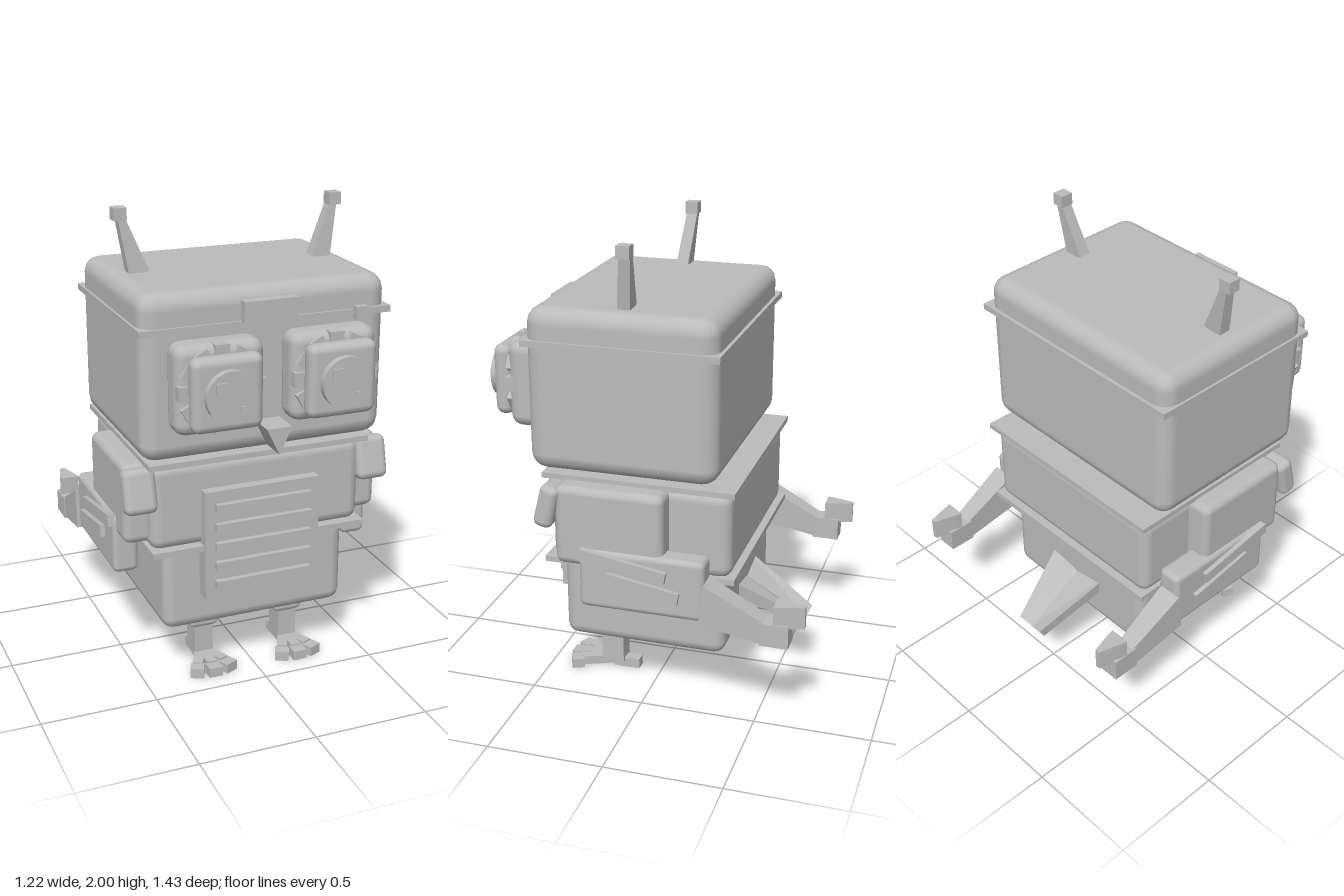
import * as THREE from 'three';
import { RoundedBoxGeometry } from 'three/addons/geometries/RoundedBoxGeometry.js';

const grey = new THREE.MeshStandardMaterial({ color: 0xbbbbbb });
grey.name = 'shell grey';

export function createModel() {
  const root = new THREE.Group();
  root.name = 'robotOwl';

  const add = (name, geo, x = 0, y = 0, z = 0, parent = root) => {
    const m = new THREE.Mesh(geo, grey);
    m.name = name;
    m.position.set(x, y, z);
    parent.add(m);
    return m;
  };
  const group = (name, x = 0, y = 0, z = 0) => {
    const g = new THREE.Group();
    g.name = name;
    g.position.set(x, y, z);
    root.add(g);
    return g;
  };
  // Boxes given by their limits on each axis; r > 0 rounds the edges
  const box = (name, [x0, x1], [y0, y1], [z0, z1], r = 0, parent = root) => {
    const w = Math.abs(x1 - x0), h = y1 - y0, d = z1 - z0;
    const geo = r ? new RoundedBoxGeometry(w, h, d, 2, r) : new THREE.BoxGeometry(w, h, d);
    return add(name, geo, (x0 + x1) / 2, (y0 + y1) / 2, (z0 + z1) / 2, parent);
  };
  // Flat-faced solid between two rings of points, wound outward
  const loft = (a, b) => {
    const n = a.length, tris = [];
    for (let i = 0; i < n; i++) {
      const j = (i + 1) % n;
      tris.push([a[i], a[j], b[j]], [a[i], b[j], b[i]]);
    }
    for (const [ring, rev] of [[a, true], [b, false]]) {
      const flat = ring.map((p) => new THREE.Vector3(...p));
      const c = flat.reduce((s, p) => s.add(p), new THREE.Vector3()).divideScalar(n).toArray();
      for (let i = 0; i < n; i++) {
        const j = (i + 1) % n;
        tris.push(rev ? [c, ring[j], ring[i]] : [c, ring[i], ring[j]]);
      }
    }
    let volume = 0;
    for (const t of tris) {
      const [p, q, r] = t.map((v) => new THREE.Vector3(...v));
      volume += p.dot(q.cross(r));
    }
    if (volume < 0) tris.forEach((t) => t.reverse());
    const geo = new THREE.BufferGeometry();
    geo.setAttribute('position', new THREE.Float32BufferAttribute(tris.flat(2), 3));
    geo.computeVertexNormals();
    return geo;
  };

  // Head with brim, brow block and side knob
  box('head', [-0.53, 0.53], [1.045, 1.735], [-0.33, 0.475], 0.07);
  box('headBrim', [-0.54, 0.54], [1.575, 1.602], [-0.345, 0.485]);
  box('browBlock', [-0.115, 0.115], [1.6, 1.685], [0.43, 0.515]);
  box('browKnob', [0.375, 0.43], [1.56, 1.615], [0.45, 0.505]);

  // Body sections and plates
  box('upperBody', [-0.475, 0.475], [0.625, 1.005], [-0.38, 0.4], 0.05);
  box('lowerBody', [-0.415, 0.415], [0.235, 0.63], [-0.34, 0.375], 0.05);
  box('collarPlate', [-0.49, 0.49], [1.0, 1.024], [-0.4, 0.43]);
  box('waistPlate', [-0.48, 0.48], [0.612, 0.637], [-0.4, 0.43]);
  box('neck', [-0.3, 0.3], [0.98, 1.08], [-0.2, 0.3]);

  // Chest grille
  box('chestPanel', [-0.257, 0.257], [0.395, 0.88], [0.37, 0.445]);
  for (let i = 0; i < 5; i++) {
    const y = 0.81 - i * 0.0865;
    box('chestSlat', [-0.215, 0.215], [y - 0.017, y + 0.017], [0.43, 0.47]);
  }

  // Beak
  const beak = new THREE.Shape();
  beak.moveTo(-0.055, 1.183);
  beak.lineTo(0, 1.07);
  beak.lineTo(0.055, 1.183);
  beak.closePath();
  add('beak', new THREE.ExtrudeGeometry(beak, { depth: 0.13, bevelEnabled: false }), 0, 0, 0.475);

  for (const s of [-1, 1]) {
    // Eye: housing, toothed ring, inner bezel, lens and glints
    const eye = group(s > 0 ? 'leftEye' : 'rightEye', s * 0.243, 1.372, 0);
    box('eyeHousing', [-0.187, 0.187], [-0.185, 0.185], [0.455, 0.595], 0.05, eye);
    for (let i = 0; i < 12; i++) {
      const a = (i * Math.PI) / 6;
      const tooth = add('eyeTooth', new THREE.BoxGeometry(0.05, 0.06, 0.05),
        Math.cos(a) * 0.157, Math.sin(a) * 0.157, 0.58, eye);
      tooth.rotation.z = a;
    }
    box('eyeBezel', [-0.148, 0.148], [-0.152, 0.152], [0.595, 0.675], 0.035, eye);
    const lens = add('eyeLens', new THREE.CylinderGeometry(0.106, 0.106, 0.05, 20), 0, 0, 0.68, eye);
    lens.rotation.x = Math.PI / 2;
    box('largeGlint', [-0.068, -0.024], [0.02, 0.064], [0.7, 0.714], 0, eye);
    box('smallGlint', [0.032, 0.052], [-0.058, -0.038], [0.7, 0.714], 0, eye);

    // Ear antenna
    const ring = (x, y, z, w, d, tilt) => [[-1, -1], [1, -1], [1, 1], [-1, 1]]
      .map(([i, k]) => [s * (x + i * w), y + i * tilt, z + k * d]);
    add('antennaStem', loft(ring(0.405, 1.73, 0.075, 0.042, 0.027, -0.01),
      ring(0.468, 1.955, 0.056, 0.016, 0.024, 0)));
    box('antennaTip', [s * 0.448, s * 0.502], [1.948, 2.0], [0.03, 0.086]);

    // Arm: shoulder, front pad and forearm
    box('upperArm', [s * 0.44, s * 0.575], [0.655, 1.005], [-0.12, 0.35], 0.035);
    const pad = add('shoulderPad', new RoundedBoxGeometry(0.14, 0.19, 0.085, 2, 0.03), s * 0.522, 0.907, 0.382);
    pad.rotation.x = -0.25;
    box('forearm', [s * 0.48, s * 0.59], [0.48, 0.745], [-0.3, 0.24], 0.025);
    for (const [y, z, len] of [[0.695, 0.045, 0.375], [0.605, -0.04, 0.315]]) {
      const plate = add('forearmPlate', new THREE.BoxGeometry(0.03, 0.052, len), s * 0.595, y, z);
      plate.rotation.x = -0.165;
    }
    // Wrist and raised claw
    const wristRing = (z0, y0, z1, y1, w) => [[-w, z0, y0], [w, z0, y0], [w, z1, y1], [-w, z1, y1]]
      .map(([x, z, y]) => [s * (0.55 + x), y, z]);
    add('wrist', loft(wristRing(-0.28, 0.48, -0.3, 0.655, 0.052), wristRing(-0.55, 0.422, -0.58, 0.505, 0.038)));
    box('claw', [s * 0.505, s * 0.595], [0.42, 0.52], [-0.655, -0.535]);
    const tip = (y) => [[-0.044, -0.59], [0.044, -0.59], [0.038, -0.62], [0.011, -0.715], [-0.011, -0.715], [-0.038, -0.62]]
      .map(([x, z]) => [s * (0.55 + x), y, z]);
    add('clawTip', loft(tip(0.505), tip(0.6)));

    // Leg and foot with three splayed toes and a heel
    box('legCuff', [s * 0.135, s * 0.265], [0.172, 0.23], [0.155, 0.283], 0.022);
    box('leg', [s * 0.158, s * 0.242], [0.03, 0.245], [0.168, 0.27]);
    const foot = group(s > 0 ? 'leftFoot' : 'rightFoot', s * 0.2, 0.025, 0.22);
    for (const a of [-0.42, 0, 0.42]) {
      const toe = new THREE.Group();
      toe.name = 'toe';
      toe.rotation.y = a;
      foot.add(toe);
      box('toeBar', [-0.022, 0.022], [-0.015, 0.025], [0, 0.15], 0, toe);
      box('toeClaw', [-0.03, 0.03], [-0.025, 0.018], [0.145, 0.2], 0, toe);
    }
    box('heel', [-0.025, 0.025], [-0.025, 0.02], [-0.12, 0], 0, foot);
  }

  // Tail: a tapering, slightly troughed slab sloping down and back
  const tailRing = (y, z, w, t) => [[-1, 0], [0, -0.025], [1, 0], [1, -t], [0, -t - 0.015], [-1, -t]]
    .map(([x, u]) => [x * w, y + u * 0.85, z - u * 0.5]).map(([x, yy, zz]) => [x, yy, zz]);
  add('tail', loft(tailRing(0.5, -0.26, 0.175, 0.06), tailRing(0.285, -0.628, 0.067, 0.05)));

  return root;
}
